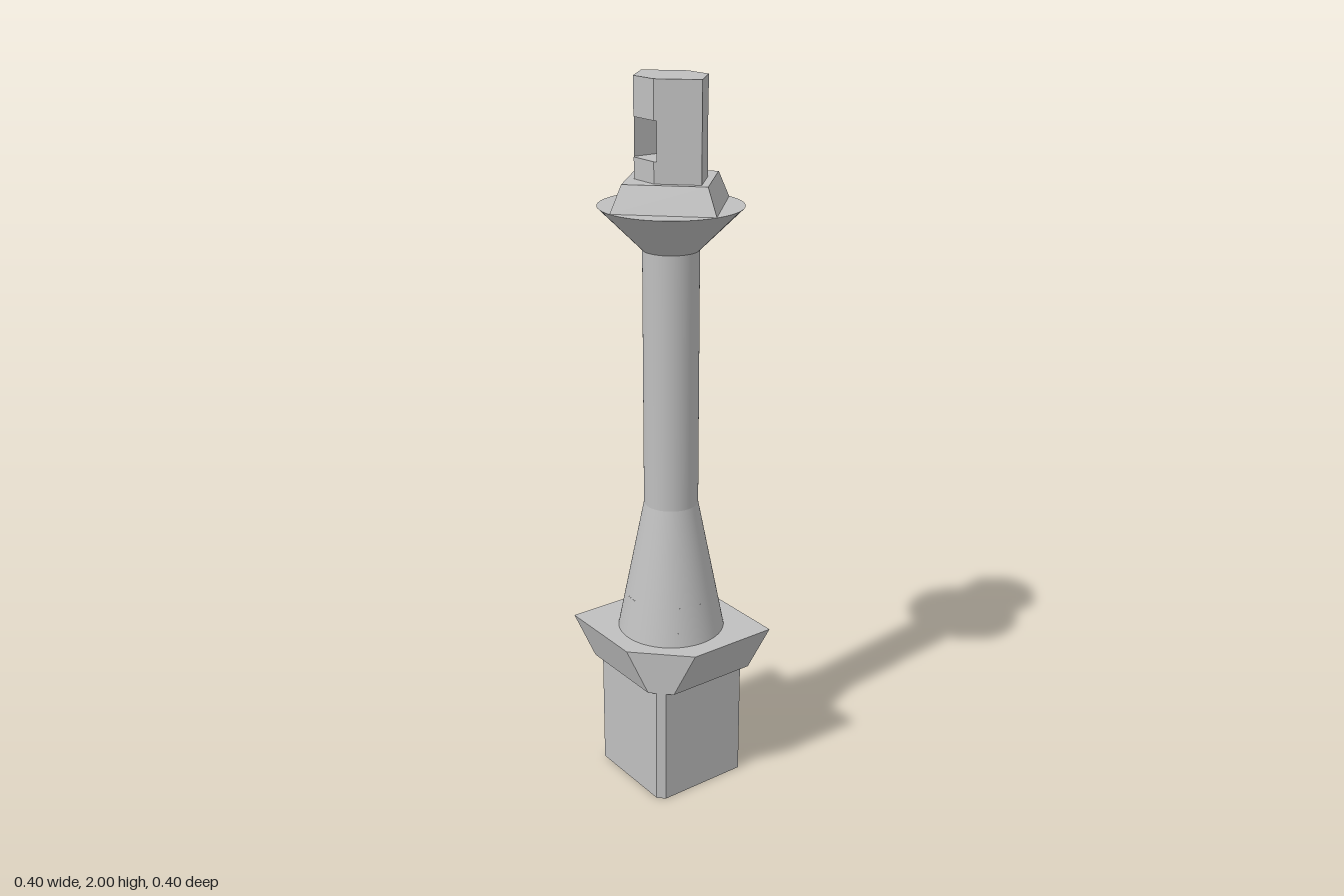
import * as THREE from 'three';
import { mergeGeometries } from 'three/addons/utils/BufferGeometryUtils.js';
import { ParametricGeometry } from 'three/addons/geometries/ParametricGeometry.js';

const BORE = 0.06;
const rad = THREE.MathUtils.degToRad;

// Flat polygon at height y, facing up (sign 1) or down (sign -1), with an optional round hole
function cap(points, y, sign, hole) {
  const shape = new THREE.Shape(points.map(([x, z]) => new THREE.Vector2(x, -sign * z)));
  if (hole) shape.holes.push(new THREE.Path().absarc(0, 0, hole, 0, Math.PI * 2, true));
  return new THREE.ShapeGeometry(shape, 24).rotateX(-sign * Math.PI / 2).translate(0, y, 0).toNonIndexed();
}

// Straight-sided solid between two matching [x, z] outlines (counter-clockwise from above)
function loft(bottom, top, y0, y1, hole = 0) {
  const pos = [];
  bottom.forEach(([bx, bz], i) => {
    const j = (i + 1) % bottom.length;
    const b0 = [bx, y0, bz], b1 = [bottom[j][0], y0, bottom[j][1]];
    const t0 = [top[i][0], y1, top[i][1]], t1 = [top[j][0], y1, top[j][1]];
    pos.push(...b0, ...b1, ...t1, ...b0, ...t1, ...t0);
  });
  const sides = new THREE.BufferGeometry();
  sides.setAttribute('position', new THREE.Float32BufferAttribute(pos, 3));
  sides.computeVertexNormals();
  const ends = [cap(bottom, y0, -1, hole), cap(top, y1, 1, hole)];
  ends.forEach((g) => g.deleteAttribute('uv'));
  return mergeGeometries([sides, ...ends]);
}

// Turned surface with a sharp edge at every profile point
function turned(profile, start = 0, length = Math.PI * 2) {
  const parts = [];
  for (let i = 0; i + 1 < profile.length; i++) {
    const pair = [profile[i], profile[i + 1]].map(([r, y]) => new THREE.Vector2(r, y));
    parts.push(new THREE.LatheGeometry(pair, 64, start, length));
  }
  return mergeGeometries(parts);
}

// Outlines
const CUT = 0.265;
const clippedSquare = (s) => [[s - CUT, s], [s, s], [s, -s], [-s, -s], [-s, CUT - s]];
const BACK = 0.128;
const clippedDiamond = (r) => [[0, r], [r, 0], [r - BACK, -BACK], [BACK - r, -BACK], [-r, 0]];
const hexagon = [[0, 0.128], [0.085, 0.043], [0.085, -0.043], [0, -0.128], [-0.085, -0.043], [-0.085, 0.043]];
const triangle = [[-0.08, 0.048], [0, 0.128], [0.08, 0.048]];

// Tapered skirt
const coneRadius = (y) => 0.15 - 0.075 * (y - 0.47) / 0.38;
const HOLE_Y = 0.545, HOLE_R = 0.018, BAND = 0.035, HALF = rad(13.5);

function onCone(angle, y, depth, target) {
  const r = coneRadius(y) - depth;
  target.set(r * Math.cos(angle), y, -r * Math.sin(angle));
}

// Patch of the skirt around a round hole
function holePatch(angle) {
  return new ParametricGeometry((u, v, target) => {
    const c = Math.cos(-2 * Math.PI * u), s = Math.sin(-2 * Math.PI * u);
    const k = 1 / Math.max(Math.abs(c), Math.abs(s));
    const a = THREE.MathUtils.lerp(c * HOLE_R / coneRadius(HOLE_Y), c * k * HALF, v);
    const h = THREE.MathUtils.lerp(s * HOLE_R, s * k * BAND, v);
    onCone(angle + a, HOLE_Y + h, 0, target);
  }, 32, 3);
}

// Wall of the hole, running in to the bore
function holeWall(angle) {
  return new ParametricGeometry((u, v, target) => {
    const t = -2 * Math.PI * u;
    const a = Math.cos(t) * HOLE_R / coneRadius(HOLE_Y);
    onCone(angle + a, HOLE_Y + Math.sin(t) * HOLE_R, 0.075 * (1 - v), target);
  }, 32, 1);
}

export function createModel() {
  const model = new THREE.Group();
  const grey = new THREE.MeshStandardMaterial({ color: 0xbfbfbf });
  grey.name = 'plain grey';
  const add = (name, geometry) => {
    const mesh = new THREE.Mesh(geometry, grey);
    mesh.name = name;
    model.add(mesh);
    return mesh;
  };

  // Square foot and flared collar, one corner cut off
  add('foot', loft(clippedSquare(0.142), clippedSquare(0.142), 0, 0.345, BORE));
  add('collar', loft(clippedSquare(0.158), clippedSquare(0.2), 0.345, 0.47, BORE));
  add('bore', turned([[0, 0.62], [BORE, 0.62], [BORE, 0]]));

  // Skirt with three small holes on the back left
  const y0 = HOLE_Y - BAND, y1 = HOLE_Y + BAND;
  add('skirtBottom', turned([[0.15, 0.47], [coneRadius(y0), y0]]));
  add('skirtBand', turned([[coneRadius(y0), y0], [coneRadius(y1), y1]], rad(175.5), rad(279)));
  add('skirtTop', turned([[coneRadius(y1), y1], [0.075, 0.85]]));
  for (const degrees of [18, 45, 72]) {
    add('holePatch', holePatch(rad(degrees)));
    add('holeWall', holeWall(rad(degrees)));
  }

  // Shaft and flange
  add('shaft', turned([[0.075, 0.85], [0.075, 1.56]]));
  add('flange', turned([[0.075, 1.56], [0.191, 1.675], [0, 1.675]]));

  // Head: sloped diamond seat, then a six-sided block with a slot through it
  add('seat', loft(clippedDiamond(0.19), clippedDiamond(0.154), 1.675, 1.745));
  add('headBase', loft(hexagon, hexagon, 1.745, 1.8));
  add('frontPillar', loft(triangle, triangle, 1.8, 1.9));
  add('backPillar', loft(triangle, triangle, 1.8, 1.9)).rotation.y = Math.PI;
  add('headTop', loft(hexagon, hexagon, 1.9, 2));

  return model;
}
